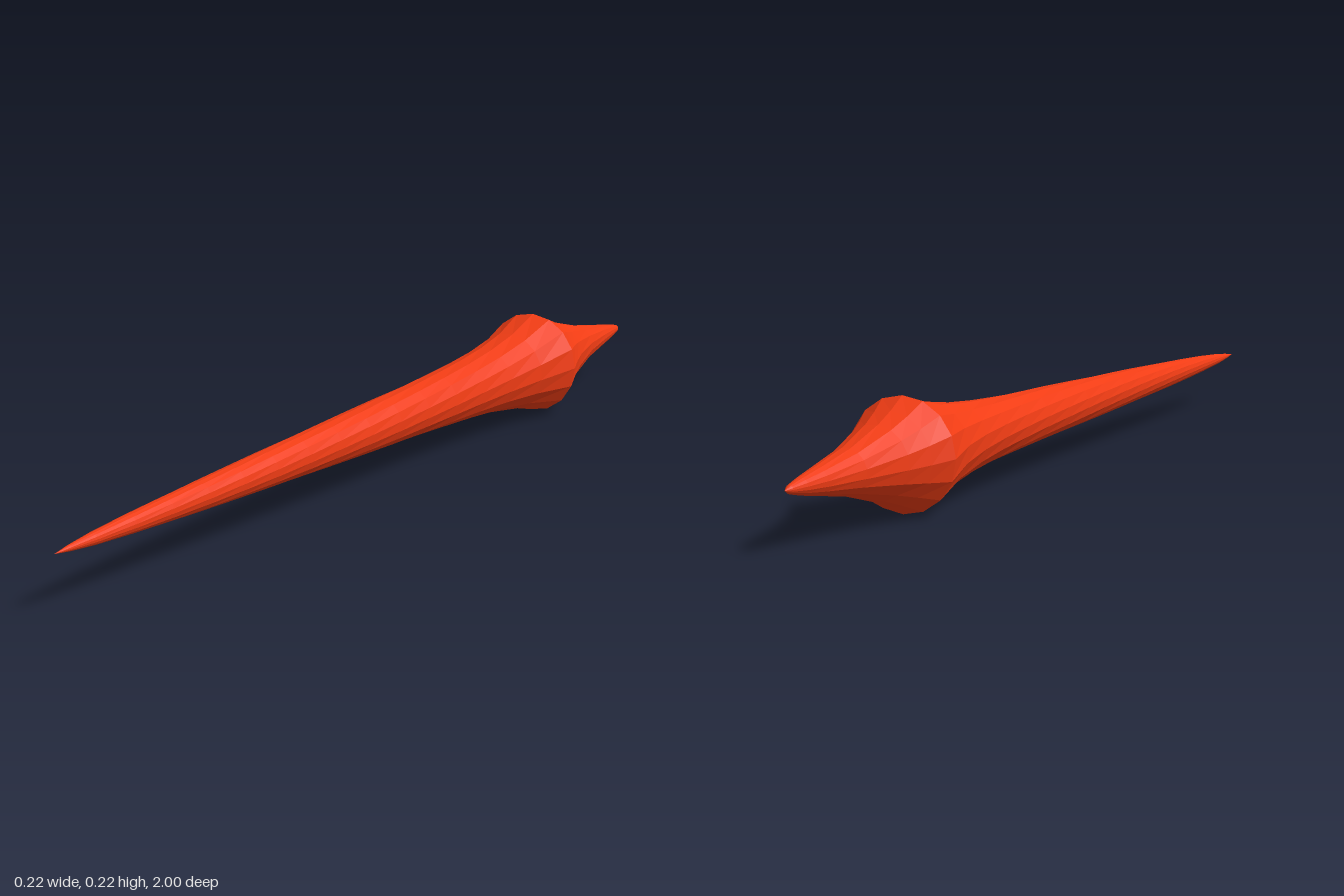
import * as THREE from 'three';

// Half-width of the spike at stations [z, radius], from back tip to front tip
const PROFILE = [
  [-1, 0], [-0.985, 0.008], [-0.95, 0.016], [-0.9, 0.025], [-0.8, 0.043], [-0.7, 0.07], [-0.65, 0.088], [-0.6, 0.109],
  [-0.5, 0.084], [-0.4, 0.07], [-0.3, 0.062], [-0.2, 0.057], [-0.1, 0.053], [0, 0.05],
  [0.1, 0.0465], [0.2, 0.043], [0.3, 0.0395], [0.4, 0.036], [0.5, 0.032], [0.6, 0.028],
  [0.7, 0.0235], [0.8, 0.0185], [0.9, 0.012], [0.96, 0.006], [1, 0],
];
const SIDES = 16;
const COLLAR_Z = -0.6;
const TWIST = 1; // radians per unit of length

export function createModel() {
  const group = new THREE.Group();
  group.name = 'spike';

  // Turned body, laid along z
  const geometry = new THREE.LatheGeometry(PROFILE.map(([z, r]) => new THREE.Vector2(r, z)), SIDES);
  geometry.rotateX(Math.PI / 2);

  // Gentle spiral of the facets, starting from the widest ring
  const pos = geometry.attributes.position;
  const v = new THREE.Vector3();
  const axis = new THREE.Vector3(0, 0, 1);
  for (let i = 0; i < pos.count; i++) {
    v.fromBufferAttribute(pos, i);
    v.applyAxisAngle(axis, -TWIST * (v.z - COLLAR_Z));
    pos.setXYZ(i, v.x, v.y, v.z);
  }
  geometry.computeVertexNormals();

  const body = new THREE.Mesh(geometry, new THREE.MeshStandardMaterial({ color: 0xf03c14, flatShading: true }));
  body.name = 'spikeBody';
  body.position.y = 0.109;
  group.add(body);
  return group;
}
